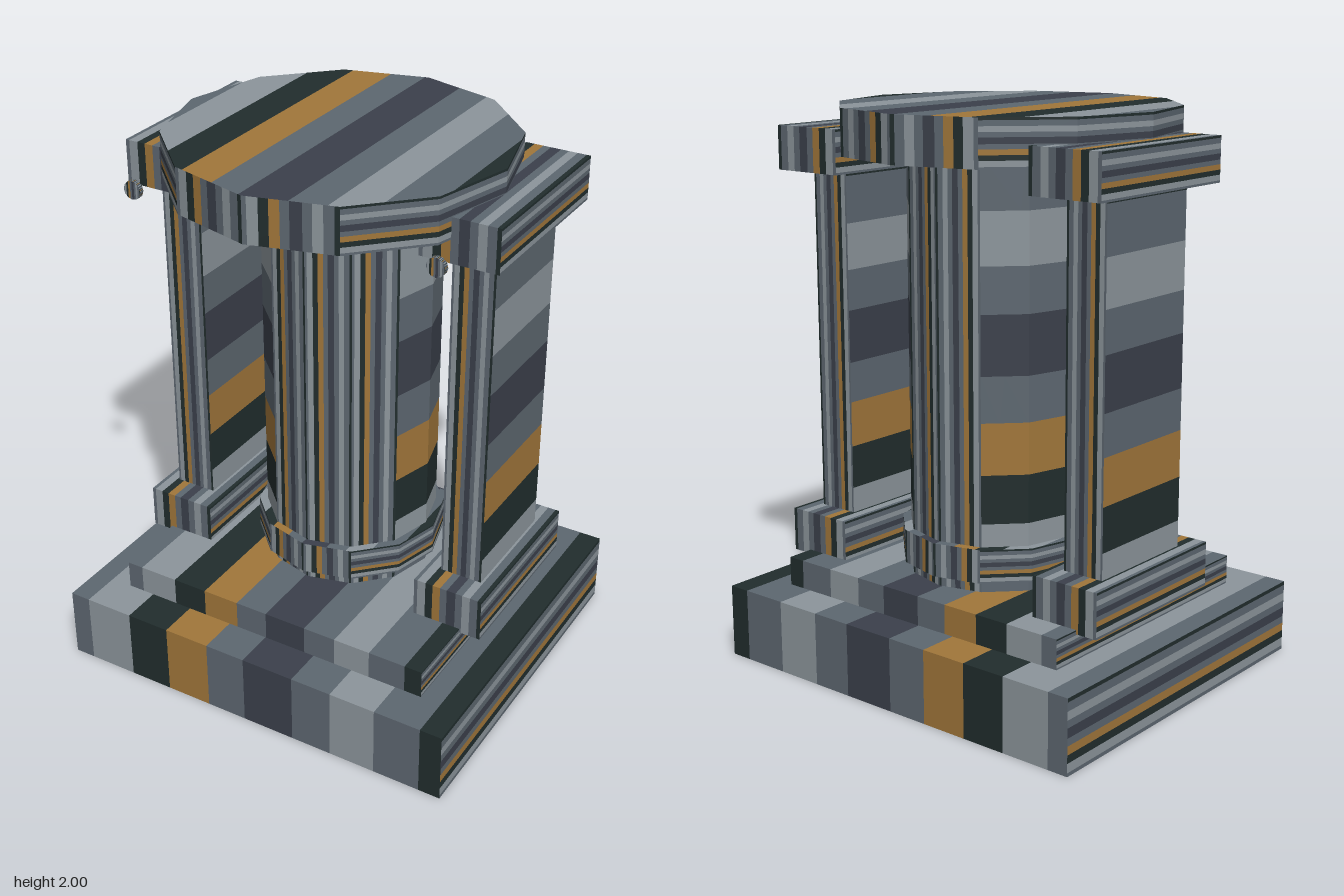
import * as THREE from 'three';

const COLOURS = { lightGrey: 0x8c959b, midGrey: 0x5d6770, slate: 0x3b404b, ochre: 0xa0763a, darkGreen: 0x212d2d };
const materials = Object.entries(COLOURS).map(([name, color]) => {
  const m = new THREE.MeshStandardMaterial({ color });
  m.name = name;
  return m;
});

// Stripe sequence across every facet: [end of the stripe from 0 to 1, material index]
const STRIPES = [[0.05, 1], [0.17, 0], [0.277, 4], [0.39, 3], [0.49, 1],
  [0.62, 2], [0.72, 1], [0.833, 0], [0.947, 1], [1, 4]];

// Keep the part of a polygon on one side of a plane across an axis
function clip(poly, axis, limit, sign) {
  const out = [];
  poly.forEach((p, i) => {
    const q = poly[(i + 1) % poly.length];
    const dp = sign * (p[axis] - limit), dq = sign * (q[axis] - limit);
    if (dp >= 0) out.push(p);
    if ((dp > 0 && dq < 0) || (dp < 0 && dq > 0)) out.push(p.clone().lerp(q, dp / (dp - dq)));
  });
  return out;
}

// Cut each flat facet into stripes: upright ones on front, back and level facets, level ones on the sides
function striped(source, lean = 0) {
  const geo = source.index ? source.toNonIndexed() : source;
  const pos = geo.attributes.position;
  const facets = new Map();
  for (let i = 0; i < pos.count; i += 3) {
    const tri = [0, 1, 2].map(k => new THREE.Vector3().fromBufferAttribute(pos, i + k));
    const n = new THREE.Triangle(...tri).getNormal(new THREE.Vector3());
    if (n.lengthSq() < 0.5) continue;
    const key = n.toArray().map(v => Math.round(v * 100)).join();
    if (!facets.has(key)) facets.set(key, { n, tris: [] });
    facets.get(key).tris.push(tri);
  }
  const buckets = materials.map(() => ({ p: [], n: [] }));
  for (const { n, tris } of facets.values()) {
    const bias = n.x > 0 && n.z > 0 ? lean : 0;
    const axis = Math.abs(n.y) > 0.7 || Math.abs(n.z) + bias > Math.abs(n.x) + 0.001 ? 'x' : 'y';
    const values = tris.flat().map(p => p[axis]);
    const lo = Math.min(...values), span = Math.max(...values) - lo;
    let start = 0;
    for (const [end, m] of STRIPES) {
      for (const tri of tris) {
        const poly = clip(clip(tri, axis, lo + start * span, 1), axis, lo + end * span, -1);
        for (let k = 1; k + 1 < poly.length; k++) {
          for (const p of [poly[0], poly[k], poly[k + 1]]) {
            buckets[m].p.push(p.x, p.y, p.z);
            buckets[m].n.push(n.x, n.y, n.z);
          }
        }
      }
      start = end;
    }
  }
  const out = new THREE.BufferGeometry();
  let first = 0;
  buckets.forEach((b, m) => {
    out.addGroup(first, b.p.length / 3, m);
    first += b.p.length / 3;
  });
  out.setAttribute('position', new THREE.Float32BufferAttribute(buckets.flatMap(b => b.p), 3));
  out.setAttribute('normal', new THREE.Float32BufferAttribute(buckets.flatMap(b => b.n), 3));
  return out;
}

export function createModel() {
  const model = new THREE.Group();
  model.name = 'stoneShrine';

  const add = (name, geo, x, y, z, lean) => {
    const mesh = new THREE.Mesh(striped(geo, lean), materials);
    mesh.name = name;
    mesh.position.set(x, y, z);
    model.add(mesh);
  };
  // Box and twelve-sided drum given by their lower and upper limits
  const box = (name, x0, x1, y0, y1, z0, z1) =>
    add(name, new THREE.BoxGeometry(x1 - x0, y1 - y0, z1 - z0), (x0 + x1) / 2, (y0 + y1) / 2, (z0 + z1) / 2);
  const drum = (name, r, y0, y1, z, lean) =>
    add(name, new THREE.CylinderGeometry(r, r, y1 - y0, 12), 0, (y0 + y1) / 2, z, lean);

  // Stepped plinth
  box('plinth', -0.767, 0.767, 0, 0.265, -0.655, 0.655);
  box('step', -0.61, 0.61, 0.265, 0.37, -0.508, 0.508);

  // Central column with its foot ring and wide lid
  drum('columnShaft', 0.312, 0.34, 1.95, -0.07, 0.01);
  drum('columnFootRing', 0.342, 0.412, 0.532, -0.07);
  drum('lid', 0.593, 1.84, 2, 0);

  // Flanking piers with foot, capital and a small hanging disc
  for (const [side, s] of [['left', 1], ['right', -1]]) {
    const pair = (name, inner, outer, ...rest) =>
      box(side + name, Math.min(s * inner, s * outer), Math.max(s * inner, s * outer), ...rest);
    pair('Pier', 0.483, 0.638, 0.36, 1.82, -0.305, 0.135);
    pair('PierFoot', 0.43, 0.69, 0.355, 0.515, -0.405, 0.235);
    pair('PierCapital', 0.418, 0.697, 1.76, 1.915, -0.418, 0.242);
    add(side + 'HangingDisc', new THREE.CylinderGeometry(0.033, 0.033, 0.018, 12).rotateX(Math.PI / 2),
      s * 0.56, 1.82, 0.392);
  }
  return model;
}
